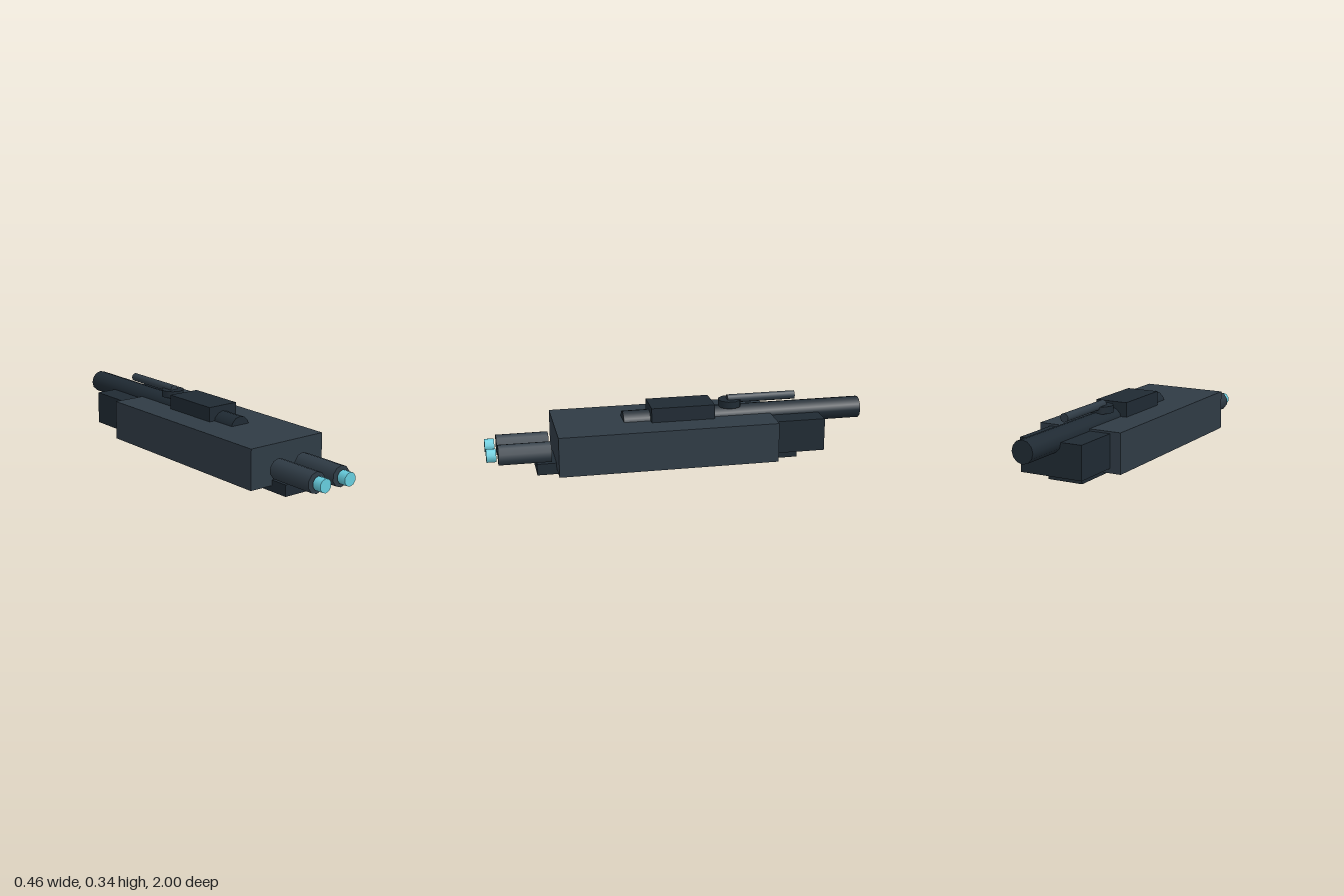
import * as THREE from 'three';

const material = (color) => new THREE.MeshStandardMaterial({ color });

export function createModel() {
  const model = new THREE.Group();
  const steel = material(0x2f3b45);
  const dark = material(0x1f2a33);
  const glow = material(0x66ccdd);

  const add = (name, geometry, mat, x, y, z) => {
    const mesh = new THREE.Mesh(geometry, mat);
    mesh.name = name;
    mesh.position.set(x, y, z);
    model.add(mesh);
    return mesh;
  };

  // Box centred on x, given its width and its y and z ranges
  const box = (name, mat, width, y0, y1, z0, z1) =>
    add(name, new THREE.BoxGeometry(width, y1 - y0, z1 - z0), mat, 0, (y0 + y1) / 2, (z0 + z1) / 2);

  // Cylinder lying along z
  const rod = (name, mat, radius, sides, x, y, z0, z1) =>
    add(name, new THREE.CylinderGeometry(radius, radius, z1 - z0, sides).rotateX(Math.PI / 2),
      mat, x, y, (z0 + z1) / 2);

  // Hull
  box('hull', steel, 0.462, 0.031, 0.241, -0.5, 0.645);
  box('rearBlock', dark, 0.344, 0.056, 0.23, -0.765, -0.5);
  box('keel', dark, 0.194, 0, 0.06, -0.64, 0.745);

  // Top gun: long barrel through a housing
  rod('barrel', dark, 0.0585, 12, 0, 0.228, -1, 0.285);
  box('barrelHousing', dark, 0.176, 0.22, 0.317, -0.19, 0.145);

  // Small gun on a round pivot
  add('pivot', new THREE.CylinderGeometry(0.062, 0.062, 0.037, 10), dark, 0, 0.298, -0.288);
  rod('smallBarrel', steel, 0.0233, 8, 0, 0.318, -0.642, -0.275);

  // Twin tubes with glowing ends
  for (const [side, x] of [['left', 0.079], ['right', -0.079]]) {
    rod(side + 'Tube', steel, 0.055, 10, x, 0.119, 0.67, 0.94);
    rod(side + 'Glow', glow, 0.036, 10, x, 0.119, 0.95, 1);
  }

  return model;
}
